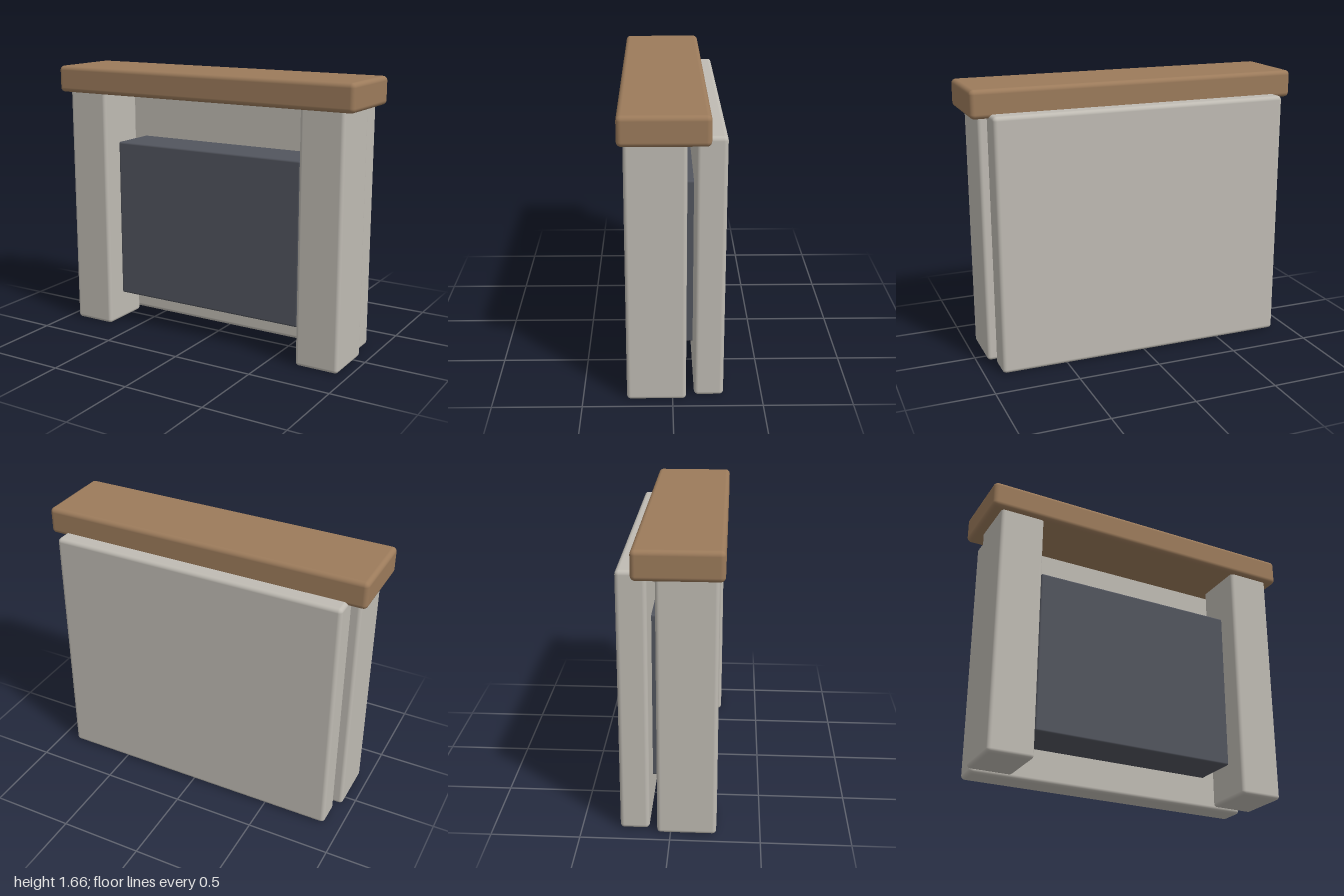
import * as THREE from 'three';
import { RoundedBoxGeometry } from 'three/addons/geometries/RoundedBoxGeometry.js';

const material = (name, color) => {
  const m = new THREE.MeshStandardMaterial({ color });
  m.name = name;
  return m;
};

export function createModel() {
  const stone = material('pale stone', 0xbfbbb3);
  const wood = material('warm wood', 0x9c7b5b);
  const iron = material('dark iron', 0x52555e);

  const model = new THREE.Group();
  model.name = 'fireplace';

  // Rounded block given by its extents on each axis
  const block = (name, mat, [x0, x1], [y0, y1], [z0, z1], radius) => {
    const geometry = new RoundedBoxGeometry(x1 - x0, y1 - y0, z1 - z0, 4, radius);
    const mesh = new THREE.Mesh(geometry, mat);
    mesh.name = name;
    mesh.position.set((x0 + x1) / 2, (y0 + y1) / 2, (z0 + z1) / 2);
    model.add(mesh);
  };

  // Back slab and the firebox standing out from it
  block('backSlab', stone, [-0.897, 0.897], [0, 1.52], [-0.285, -0.12], 0.024);
  block('firebox', iron, [-0.635, 0.635], [0.197, 1.19], [-0.16, 0.167], 0.012);

  // Side pillars, running up into the mantel
  block('leftPillar', stone, [0.667, 0.936], [0, 1.525], [-0.075, 0.255], 0.022);
  block('rightPillar', stone, [-0.936, -0.667], [0, 1.525], [-0.075, 0.255], 0.022);

  // Mantel shelf
  block('mantel', wood, [-1, 1], [1.495, 1.658], [-0.195, 0.285], 0.027);

  return model;
}
